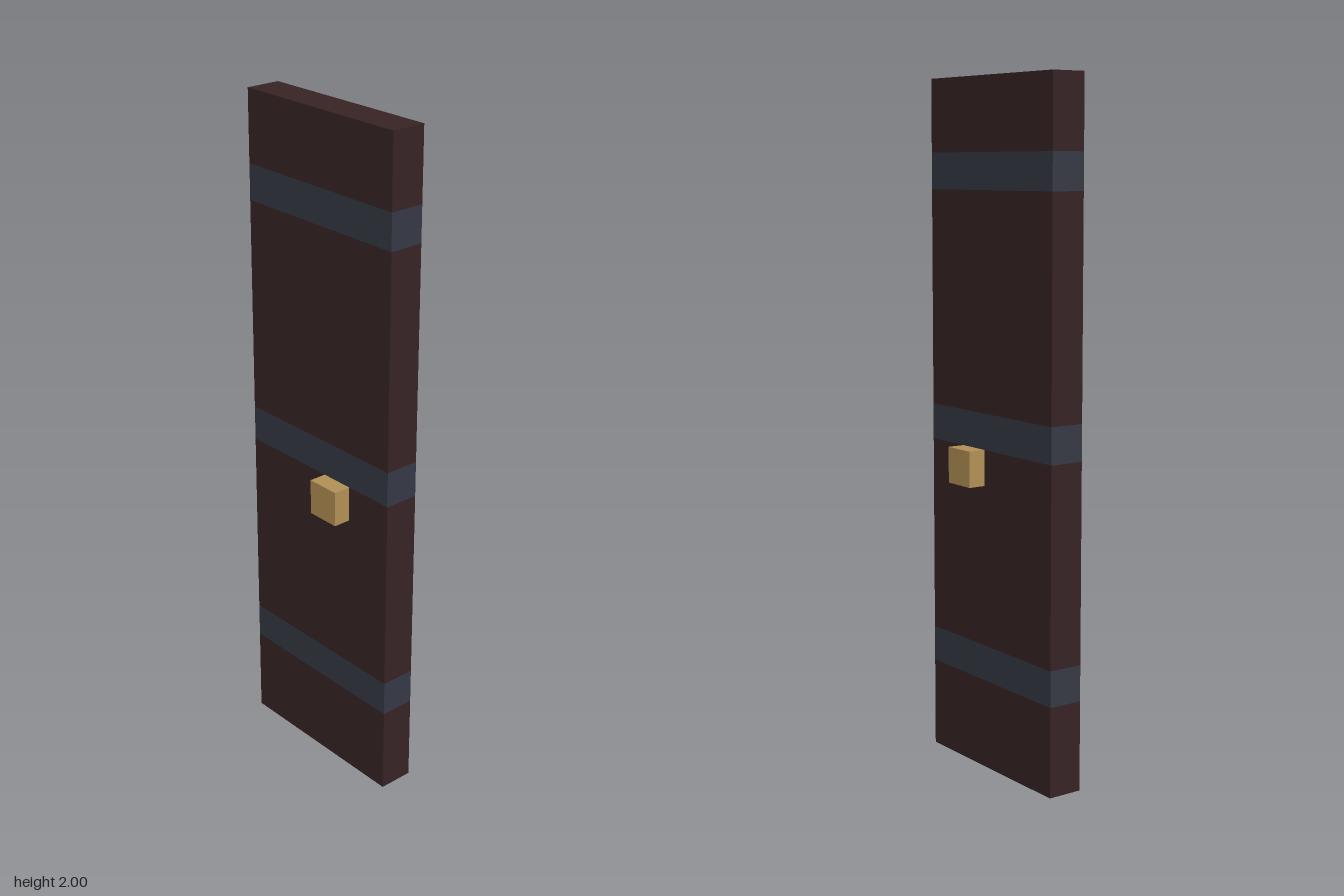
import * as THREE from 'three';

// Everything sits on a grid of 38 steps over the full height.
const U = 2 / 38;

export function createModel() {
  const wood = new THREE.MeshStandardMaterial({ color: 0x382425 });
  const iron = new THREE.MeshStandardMaterial({ color: 0x363945 });
  const brass = new THREE.MeshStandardMaterial({ color: 0xb39156 });
  wood.name = 'dark wood';
  iron.name = 'iron';
  brass.name = 'brass';

  const door = new THREE.Group();
  door.name = 'door';

  // Box given by its grid extents on each axis
  const addBox = (name, material, [x0, x1], [y0, y1], [z0, z1]) => {
    const mesh = new THREE.Mesh(
      new THREE.BoxGeometry((x1 - x0) * U, (y1 - y0) * U, (z1 - z0) * U), material);
    mesh.position.set((x0 + x1) * U / 2, (y0 + y1) * U / 2, (z0 + z1) * U / 2);
    mesh.name = name;
    door.add(mesh);
  };

  // Door leaf: wooden panels alternating with flush iron bands
  const levels = [0, 5, 7, 18, 20, 32, 34, 38];
  for (let i = 0; i < levels.length - 1; i++) {
    const isBand = i % 2 === 1;
    addBox(isBand ? 'ironBand' : 'woodPanel', isBand ? iron : wood,
      [-5.5, 5.5], [levels[i], levels[i + 1]], [-1, 1]);
  }

  // Square knobs on both faces
  addBox('frontKnob', brass, [0.5, 2.5], [16, 18], [1, 2]);
  addBox('backKnob', brass, [0.5, 2.5], [16, 18], [-2, -1]);

  return door;
}
